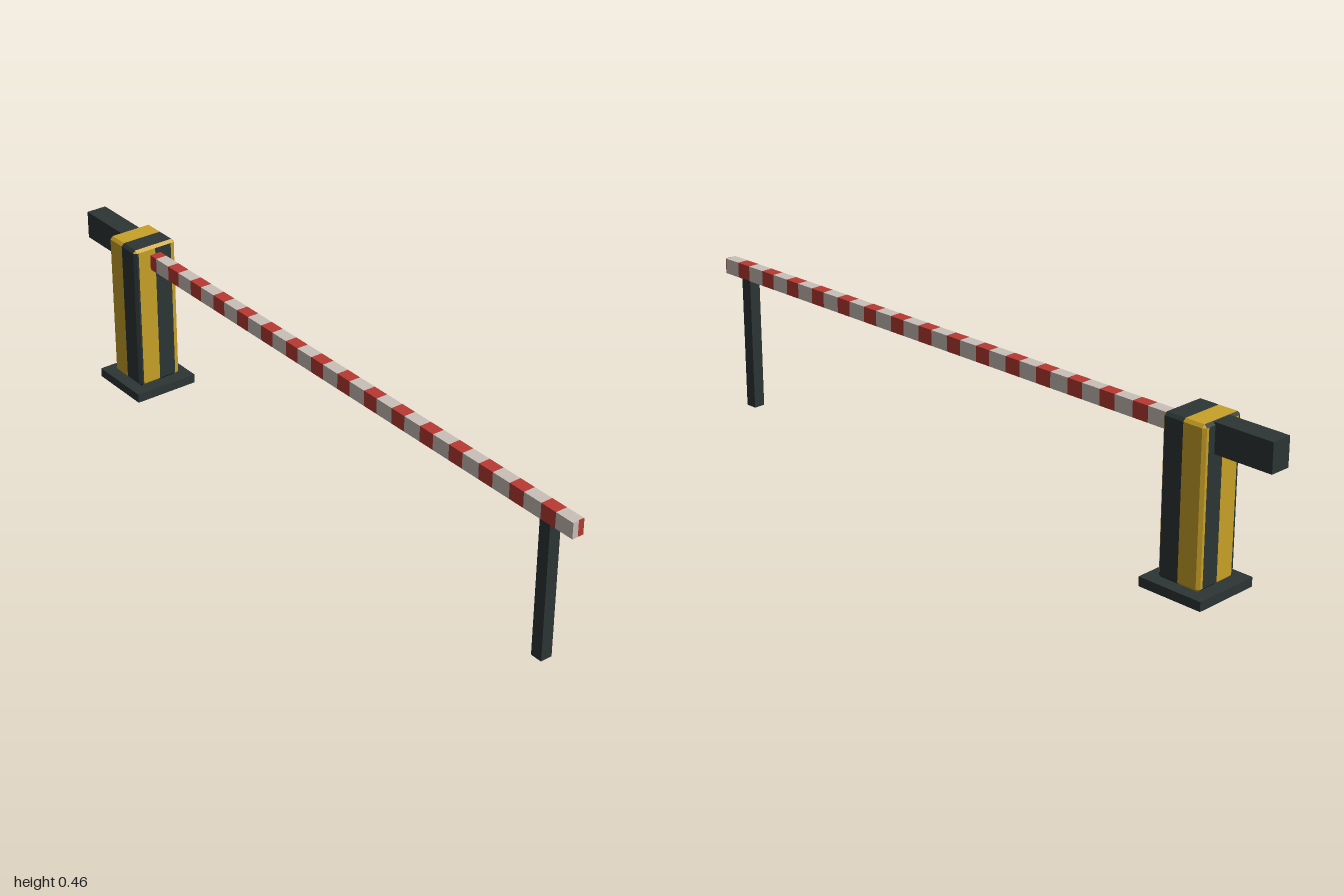
import * as THREE from 'three';

const paint = (name, color) => Object.assign(new THREE.MeshStandardMaterial({ color }), { name });

export function createModel() {
  const yellow = paint('yellow', 0xc9a228);
  const dark = paint('dark grey', 0x2c3535);
  const red = paint('red', 0xb83a33);
  const white = paint('white', 0xcac0ba);
  const model = new THREE.Group();
  model.name = 'barrierGate';

  // Box given by its limits on each axis
  const box = (name, mat, [x0, x1], [y0, y1], [z0, z1], parent = model) => {
    const mesh = new THREE.Mesh(new THREE.BoxGeometry(x1 - x0, y1 - y0, z1 - z0), mat);
    mesh.position.set((x0 + x1) / 2, (y0 + y1) / 2, (z0 + z1) / 2);
    mesh.name = name;
    parent.add(mesh);
  };

  // Foot plate, counterweight and arm rest
  box('basePlate', dark, [-0.862, -0.668], [0, 0.026], [-0.097, 0.097]);
  box('counterweight', dark, [-1, -0.8], [0.375, 0.455], [-0.03, 0.03]);
  box('armRest', dark, [0.892, 0.927], [0, 0.388], [-0.017, 0.017]);

  // Striped boom arm
  const arm = new THREE.Group();
  arm.name = 'arm';
  model.add(arm);
  const period = 0.1076, redWidth = 0.049, armY = [0.387, 0.431], armZ = [-0.017, 0.017];
  for (let i = 0; i < 16; i++) {
    const x = -0.72 + i * period;
    box('redStripe', red, [x, x + redWidth], armY, armZ, arm);
    box('whiteStripe', white, [x + redWidth, i === 15 ? 0.998 : x + period], armY, armZ, arm);
  }
  box('whiteEndPlate', white, [0.998, 1], armY, [0, 0.017], arm);
  box('redEndPlate', red, [0.998, 1], armY, [-0.017, 0], arm);

  // Bevelled cabinet: an outline with one colour per wall strip, lofted through four levels
  const hx = 0.065, hz = 0.068, b = 0.008, ix = hx - b, iz = hz - b;
  const Y = yellow, D = dark;
  const outline = [ // x, z, wall colour, bevel colour at the top
    [hx, iz, D, Y], [hx, 0.055, Y, Y], [hx, 0, D, Y], [hx, -0.052, Y, Y], [hx, -iz, Y, Y],
    [ix, -hz, D, D], [0, -hz, Y, Y], [-ix, -hz, Y, Y],
    [-hx, -iz, Y, D], [-hx, -0.052, D, D], [-hx, 0, Y, D], [-hx, 0.055, D, D], [-hx, iz, D, D],
    [-ix, hz, Y, Y], [0, hz, D, D], [ix, hz, D, Y],
  ];
  const levels = [[0.026, true], [0.034, false], [0.448, false], [0.456, true]];
  const corners = new Map([[yellow, []], [dark, []]]);
  const quad = (mat, p, q, r, s) => corners.get(mat).push(...p, ...q, ...r, ...p, ...r, ...s);
  const at = ([x, z], [y, inset]) => inset
    ? [THREE.MathUtils.clamp(x, -ix, ix), y, THREE.MathUtils.clamp(z, -iz, iz)]
    : [x, y, z];
  for (let k = 0; k < 3; k++) {
    outline.forEach((p, i) => {
      const q = outline[(i + 1) % outline.length], lo = levels[k], hi = levels[k + 1];
      quad(k === 2 ? p[3] : p[2], at(p, lo), at(q, lo), at(q, hi), at(p, hi));
    });
  }
  // Two-coloured lid
  for (const [mat, x0, x1] of [[yellow, -ix, 0], [dark, 0, ix]]) {
    quad(mat, [x0, 0.456, iz], [x1, 0.456, iz], [x1, 0.456, -iz], [x0, 0.456, -iz]);
  }
  const cabinet = new THREE.Group();
  cabinet.name = 'cabinet';
  cabinet.position.x = -0.765;
  for (const [mat, points] of corners) {
    const geometry = new THREE.BufferGeometry();
    geometry.setAttribute('position', new THREE.Float32BufferAttribute(points, 3));
    geometry.computeVertexNormals();
    const mesh = new THREE.Mesh(geometry, mat);
    mesh.name = mat === yellow ? 'yellowPanels' : 'darkPanels';
    cabinet.add(mesh);
  }
  model.add(cabinet);
  return model;
}
